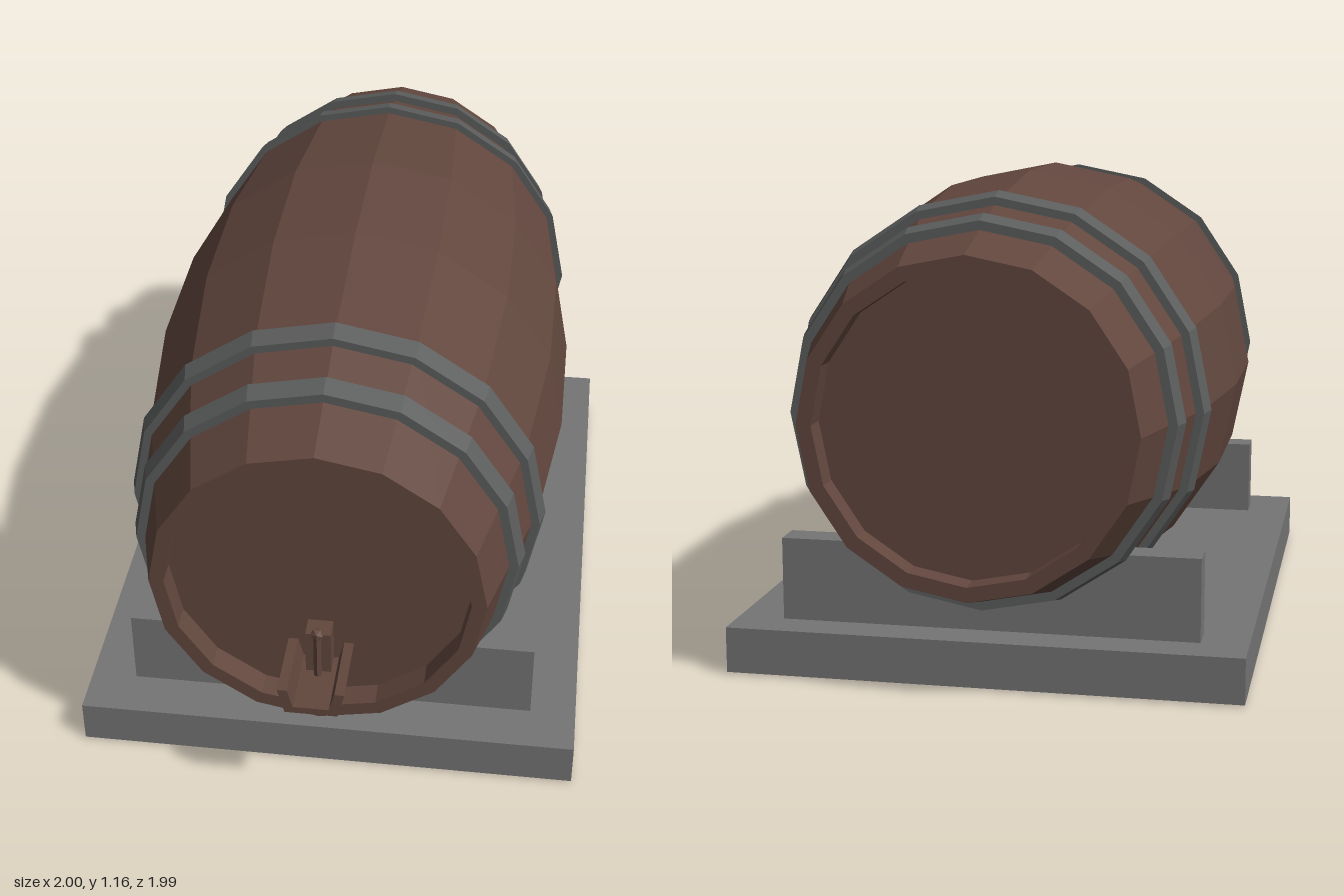
import * as THREE from 'three';

const wood = new THREE.MeshStandardMaterial({ color: 0x62473e });
wood.name = 'brown wood';
const iron = new THREE.MeshStandardMaterial({ color: 0x5c5d5d });
iron.name = 'dark iron';
const stone = new THREE.MeshStandardMaterial({ color: 0x757575 });
stone.name = 'grey stand';

// Give every face its own flat normals
function faceted(geometry) {
  const flat = geometry.index ? geometry.toNonIndexed() : geometry;
  flat.computeVertexNormals();
  return flat;
}

function addMesh(parent, name, geometry, material, x = 0, y = 0, z = 0) {
  const mesh = new THREE.Mesh(faceted(geometry), material);
  mesh.name = name;
  mesh.position.set(x, y, z);
  parent.add(mesh);
  return mesh;
}

// 16-sided turned shape whose axis lies along z; points are [radius, z]
function turned(points) {
  const profile = points.map(([r, z]) => new THREE.Vector2(r, z));
  return new THREE.LatheGeometry(profile, 16).rotateX(Math.PI / 2);
}

export function createModel() {
  const model = new THREE.Group();
  model.name = 'barrelOnStand';

  // The whole barrel and stand sit diagonally
  const turnedGroup = new THREE.Group();
  turnedGroup.name = 'diagonalAssembly';
  turnedGroup.rotation.y = -0.798;
  model.add(turnedGroup);

  // Stand: slab and two cross supports
  addMesh(turnedGroup, 'baseSlab', new THREE.BoxGeometry(1.23, 0.11, 1.59), stone, 0, 0.06, 0);
  for (const [name, z] of [['frontSupport', 0.638], ['backSupport', -0.663]]) {
    addMesh(turnedGroup, name, new THREE.BoxGeometry(1.005, 0.315, 0.075), stone, 0, 0.1575, z);
  }

  const barrel = new THREE.Group();
  barrel.name = 'barrel';
  barrel.position.set(0, 0.635, -0.015);
  turnedGroup.add(barrel);

  // Body with recessed lids at both ends
  const half = [[0.53, 0.18], [0.487, 0.54], [0.39, 0.9], [0.355, 0.9], [0.355, 0.84], [0, 0.84]];
  const mirrored = half.map(([r, z]) => [r, -z]).reverse();
  addMesh(barrel, 'barrelBody', turned([...mirrored, ...half]), wood);

  // Two iron hoops at each end
  const hoops = [
    ['innerHoop', 0.54, 0.59, 0.505, 0.493],
    ['outerHoop', 0.701, 0.75, 0.465, 0.452],
  ];
  for (const [end, angle] of [['front', 0], ['back', Math.PI]]) {
    for (const [name, a, b, ra, rb] of hoops) {
      const ring = turned([[ra - 0.05, a], [ra, a], [rb, b], [rb - 0.05, b]]);
      addMesh(barrel, `${end} ${name}`, ring, iron).rotation.y = angle;
    }
  }

  // Tap: open spout trough, valve block, stem and knob
  const tap = new THREE.Group();
  tap.name = 'tap';
  turnedGroup.add(tap);
  const trough = new THREE.Shape([
    [-0.078, 0.435], [-0.062, 0.367], [0.062, 0.367], [0.078, 0.435],
    [0.055, 0.435], [0.042, 0.385], [-0.042, 0.385], [-0.055, 0.435],
  ].map(([x, y]) => new THREE.Vector2(x, y)));
  const troughGeometry = new THREE.ExtrudeGeometry(trough, { depth: 0.19, bevelEnabled: false });
  addMesh(tap, 'spoutTrough', troughGeometry, wood, 0, 0, 0.81);
  addMesh(tap, 'valveBlock', new THREE.BoxGeometry(0.06, 0.115, 0.06), wood, 0, 0.4425, 0.845);
  addMesh(tap, 'valveStem', new THREE.CylinderGeometry(0.01, 0.01, 0.13, 6), wood, 0, 0.45, 0.885);
  addMesh(tap, 'valveKnob', new THREE.IcosahedronGeometry(0.016, 0), wood, 0, 0.51, 0.885);

  return model;
}
